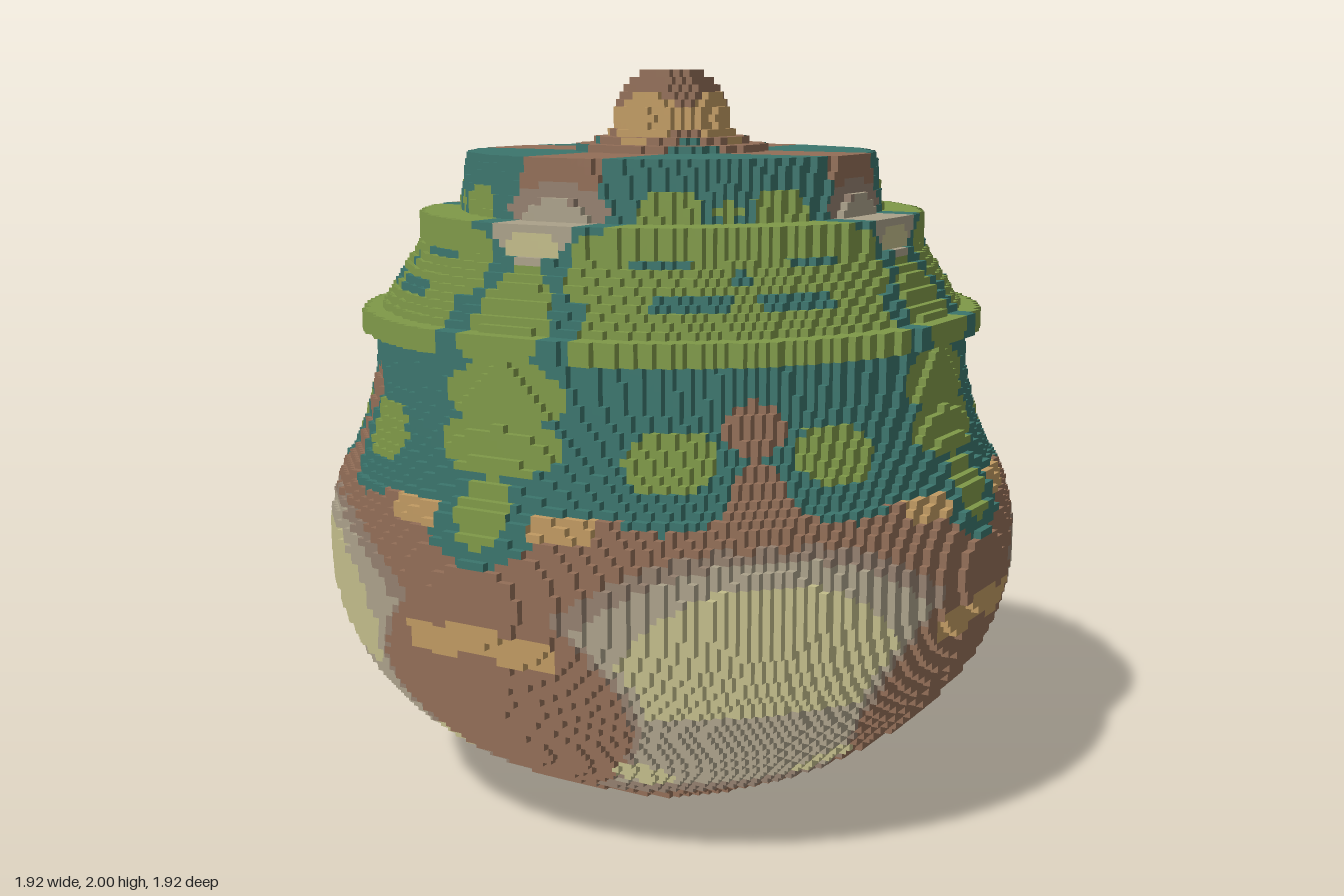
import * as THREE from 'three';

const CELL = 0.02, H = CELL / 2, N = 48;

const colours = {
  teal: 0x3b756d, green: 0x7f9948, brown: 0x926e57, tan: 0xc09a62,
  cream: 0xc2bc8a, stone: 0xaba18a, taupe: 0x94806f,
};
const names = Object.keys(colours);
const materials = names.map((name) =>
  new THREE.MeshStandardMaterial({ name, color: colours[name], side: THREE.DoubleSide }));

// Stacked sections of the jar, each with its top height and radius rule
const sections = [
  { name: 'footRing', top: 0.04, radius: () => 0.31 },
  { name: 'footStep', top: 0.08, radius: () => 0.345 },
  { name: 'belly', top: 0.94, radius: (y) => 0.96 * Math.sqrt(1 - ((y - 0.71) / 0.714) ** 2) },
  { name: 'shoulder', top: 1.3, radius: (y) => 0.81 + 0.09 * ((1.3 - y) / 0.36) ** 2 },
  { name: 'rim', top: 1.36, radius: () => 0.85 },
  { name: 'upperTier', top: 1.62, radius: (y) => Math.max(0.69, 0.8 - 0.62 * (y - 1.36)) },
  { name: 'lid', top: 1.78, radius: (y) => 0.58 - 0.15 * (y - 1.62) },
  { name: 'knobFoot', top: 1.86, radius: (y) => 0.15 + 0.14 * ((1.86 - y) / 0.08) ** 2 },
  { name: 'knob', top: 2, radius: (y) => 0.155 * Math.sqrt(1 - ((y - 1.86) / 0.15) ** 2) },
];

function filled(x, y, z) {
  const section = sections.find((s) => y < s.top);
  return section !== undefined && Math.hypot(x, z) < section.radius(y);
}

// Painted shapes in (m = distance from nearest axis, y = height), later ones on top
const oval = (colour, cx, cy, rx, ry) =>
  ({ colour, hit: (m, y) => ((m - cx) / rx) ** 2 + ((y - cy) / ry) ** 2 < 1 });
const box = (colour, m0, m1, y0, y1) =>
  ({ colour, hit: (m, y) => m >= m0 && m < m1 && y >= y0 && y < y1 });
// Pale belly panel with a bulging inner side and an arched top
const panel = (colour, side, bottom, top, arch) => ({
  colour,
  hit: (m, y) => m > side - 2.56 * (y - 0.45) ** 2 && y > bottom && y < top - arch * (m - 0.66) ** 2,
});

const paint = [
  // belly panels
  panel('taupe', 0.36, 0.11, 0.88, 0.9),
  panel('stone', 0.38, 0.18, 0.84, 1.1),
  panel('cream', 0.41, 0.43, 0.79, 2.2),
  oval('cream', 0.3, 0.23, 0.06, 0.05),
  oval('tan', 0, 0.62, 0.09, 0.05),
  oval('tan', 0.14, 0.6, 0.09, 0.05),
  // shoulder ground
  box('teal', 0, 1, 0.94, 1.83),
  oval('teal', 0, 0.93, 0.17, 0.13),
  oval('teal', 0.45, 0.94, 0.09, 0.03),
  oval('tan', 0.22, 0.91, 0.09, 0.04),
  // hourglass and leaves
  oval('brown', 0.62, 1.15, 0.1, 0.07),
  oval('brown', 0.62, 0.98, 0.06, 0.12),
  oval('green', 0.43, 1.07, 0.1, 0.08),
  oval('green', 0, 0.93, 0.075, 0.085),
  oval('green', 0, 1.09, 0.19, 0.08),
  oval('green', 0, 1.21, 0.18, 0.08),
  oval('green', 0, 1.36, 0.115, 0.16),
  // upper leaf band
  box('green', 0.2, 1, 1.3, 1.62),
  oval('green', 0.2, 1.52, 0.09, 0.09),
  oval('teal', 0.42, 1.44, 0.1, 0.022),
  oval('teal', 0.33, 1.53, 0.07, 0.015),
  oval('teal', 0.53, 1.5, 0.05, 0.025),
  oval('green', 0.29, 1.65, 0.07, 0.05),
  oval('green', 0.43, 1.65, 0.05, 0.03),
  // lid straps
  box('brown', 0, 0.13, 1.68, 1.83),
  oval('taupe', 0, 1.65, 0.155, 0.065),
  oval('stone', 0, 1.6, 0.12, 0.075),
  box('stone', 0, 0.12, 1.6, 1.62),
  oval('cream', 0, 1.565, 0.08, 0.035),
  // knob
  oval('tan', 0, 1.87, 0.11, 0.065),
];

function colourAt(x, y, z) {
  const m = Math.min(Math.abs(x), Math.abs(z));
  const shape = paint.findLast((s) => s.hit(m, y));
  return names.indexOf(shape ? shape.colour : 'brown');
}

// One stepped, hollow section between two heights
function buildSection(name, bottom, top) {
  const buckets = names.map(() => []);
  const quad = (k, a, b, c, d) => buckets[k].push(...a, ...b, ...c, ...a, ...c, ...d);
  for (let j = Math.round(bottom / CELL); j < Math.round(top / CELL); j++) {
    const y0 = j * CELL, y1 = y0 + CELL, y = y0 + H;
    for (let i = -N; i < N; i++) for (let k = -N; k < N; k++) {
      const x = i * CELL + H, z = k * CELL + H;
      if (!filled(x, y, z)) continue;
      // outer walls
      for (const [dx, dz] of [[1, 0], [-1, 0], [0, 1], [0, -1]]) {
        if (filled(x + dx * CELL, y, z + dz * CELL)) continue;
        const fx = x + dx * H, fz = z + dz * H, tx = dz * H, tz = -dx * H;
        quad(colourAt(fx, y, fz),
          [fx - tx, y0, fz - tz], [fx + tx, y0, fz + tz], [fx + tx, y1, fz + tz], [fx - tx, y1, fz - tz]);
      }
      // exposed ledges, plain brown around the foot of the knob
      if (!filled(x, y + CELL, z)) {
        const plain = y > 1.78 && y < 1.83;
        quad(plain ? names.indexOf('brown') : colourAt(x, y, z),
          [x - H, y1, z + H], [x + H, y1, z + H], [x + H, y1, z - H], [x - H, y1, z - H]);
      }
    }
  }
  const geometry = new THREE.BufferGeometry();
  const used = [], positions = [];
  buckets.forEach((b, k) => {
    if (!b.length) return;
    geometry.addGroup(positions.length / 3, b.length / 3, used.length);
    used.push(materials[k]);
    for (const v of b) positions.push(v);
  });
  geometry.setAttribute('position', new THREE.Float32BufferAttribute(positions, 3));
  geometry.computeVertexNormals();
  const mesh = new THREE.Mesh(geometry, used);
  mesh.name = name;
  return mesh;
}

export function createModel() {
  const group = new THREE.Group();
  group.name = 'jar';
  sections.forEach(({ name, top }, i) => {
    group.add(buildSection(name, i ? sections[i - 1].top : 0, top));
  });
  return group;
}
